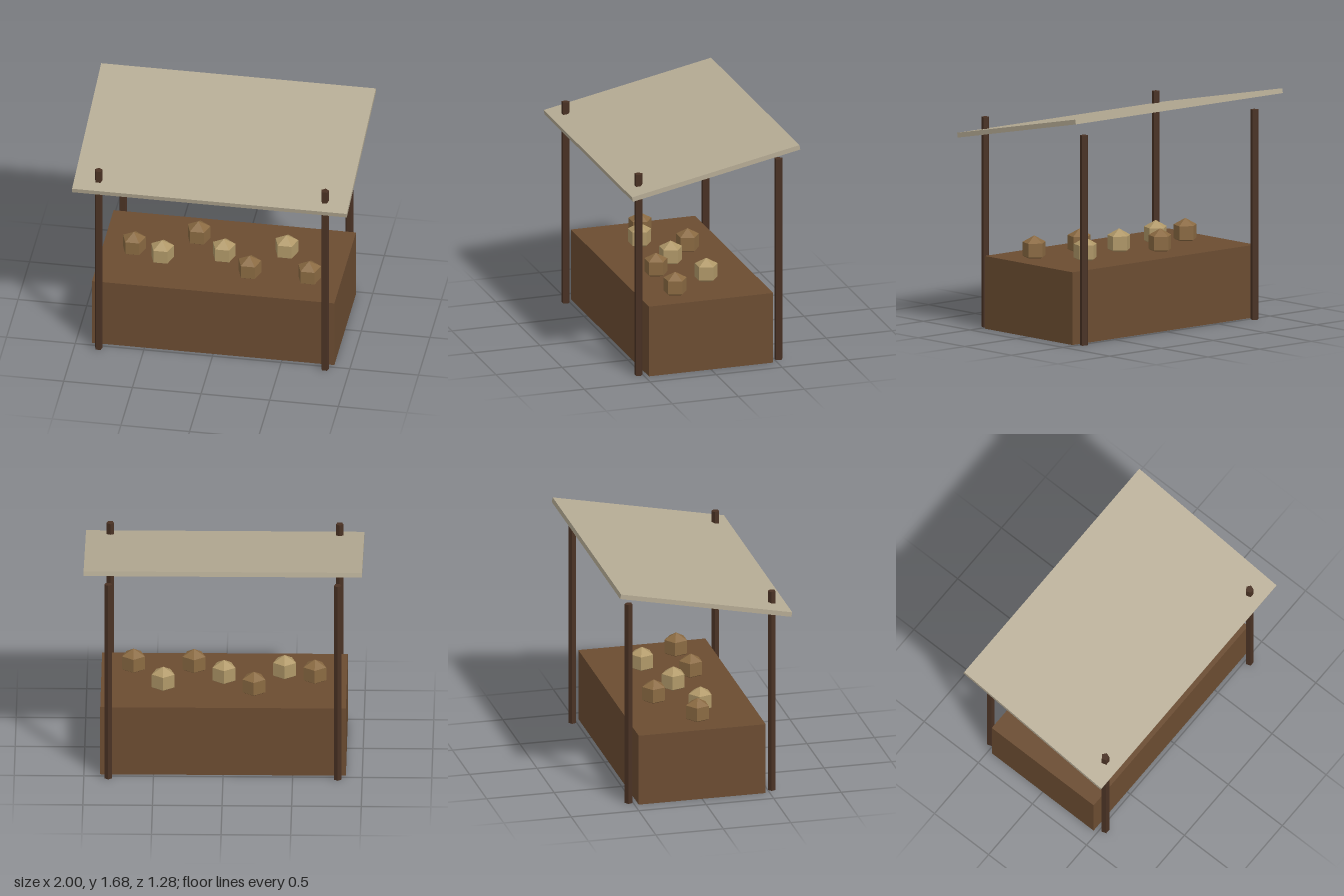
import * as THREE from 'three';

const mat = (color) => new THREE.MeshStandardMaterial({ color, flatShading: true });

function part(parent, name, geometry, material, x, y, z) {
  const mesh = new THREE.Mesh(geometry, material);
  mesh.name = name;
  mesh.position.set(x, y, z);
  parent.add(mesh);
  return mesh;
}

export function createModel() {
  const stall = new THREE.Group();
  stall.name = 'marketStall';

  const counterWood = mat(0x6b4c31);
  const postWood = mat(0x4a3224);
  const cloth = mat(0xb5ab94);
  const goodsColours = [mat(0x8a6a42), mat(0xb09868)];

  // Solid counter
  part(stall, 'counter', new THREE.BoxGeometry(1.765, 0.53, 0.941), counterWood, 0, 0.265, 0);

  // Four five-sided posts, each with a corner towards the back
  const postGeometry = new THREE.CylinderGeometry(0.0294, 0.0294, 1.53, 5).rotateY(Math.PI);
  for (const z of [1, -1]) {
    for (const x of [1, -1]) {
      const name = (z > 0 ? 'front' : 'back') + (x > 0 ? 'Left' : 'Right') + 'Post';
      part(stall, name, postGeometry, postWood, x * 0.824, 0.765, z * 0.53);
    }
  }

  // Flat awning sloping down to the front; the front posts poke through
  const awning = part(stall, 'awning', new THREE.BoxGeometry(2, 0.035, 1.294), cloth, 0, 1.531, 0);
  awning.rotation.x = 0.2;

  // Row of low-poly goods in two alternating colours, sunk slightly into the counter
  const goods = new THREE.Group();
  goods.name = 'goods';
  stall.add(goods);
  const goodsGeometry = new THREE.SphereGeometry(0.1, 5, 3).rotateY(-Math.PI / 2);
  [0.024, 0.1, -0.19, 0.01, 0.195, -0.113, 0.195].forEach((z, i) => {
    part(goods, 'goodsItem' + (i + 1), goodsGeometry, goodsColours[i % 2], (i - 3) * 0.2175, 0.589, z);
  });

  return stall;
}
